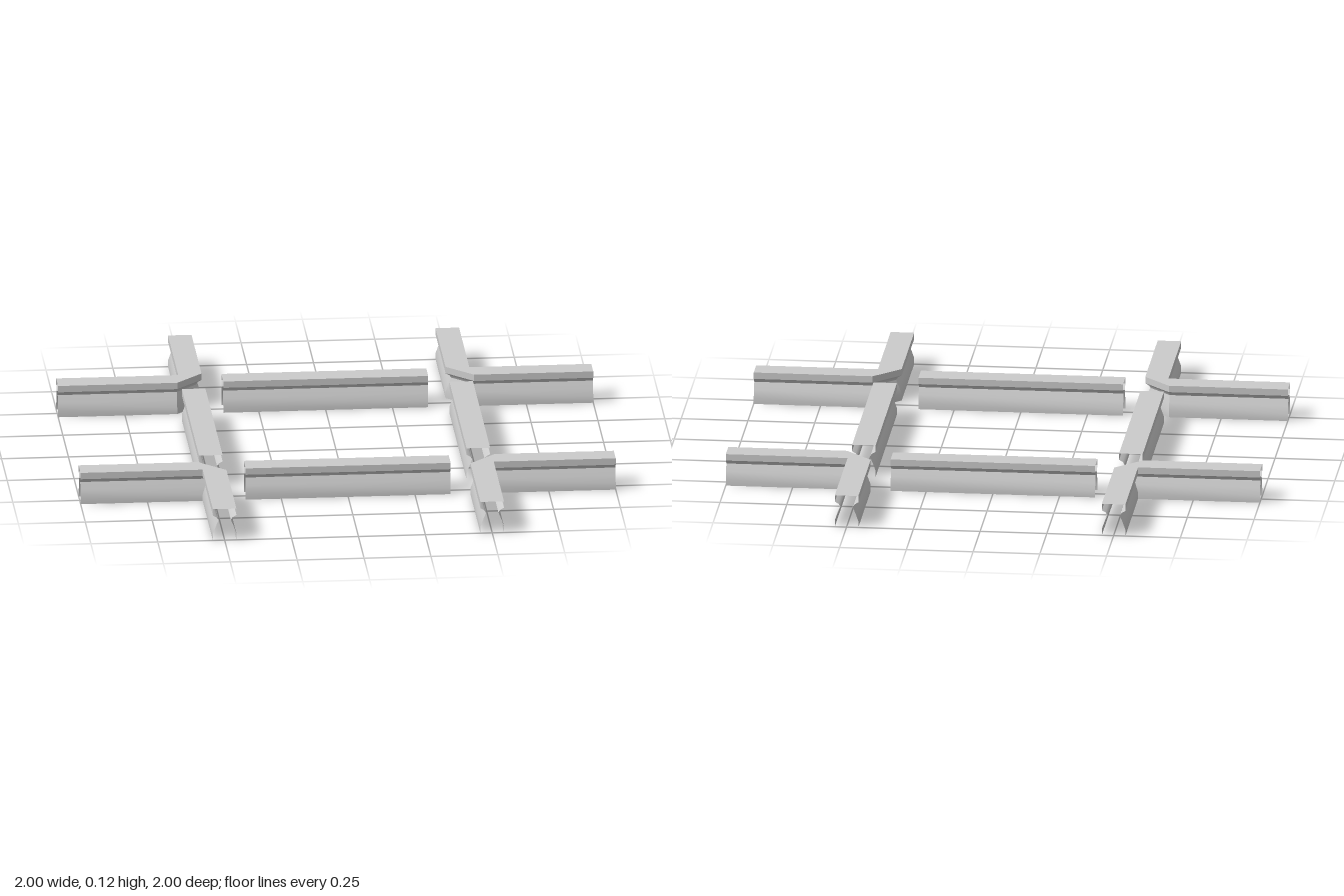
import * as THREE from 'three';
import { toCreasedNormals } from 'three/addons/utils/BufferGeometryUtils.js';

const material = new THREE.MeshStandardMaterial({ color: 0xcccccc, side: THREE.DoubleSide });

// Half profile from the foot up to the cap: [half width, height]
const half = [[0.044, 0], [0.044, 0.025], [0.034, 0.053], [0.023, 0.08], [0.03, 0.09], [0.044, 0.098], [0.044, 0.123]];
// Whole profile over the cap, open underneath: [side, half width, height]
const profile = [
  ...half.map(([d, y]) => [-1, d, y]),
  ...[...half].reverse().map(([d, y]) => [1, d, y]),
];

// Skins a row of sections; each section gives [x, z] for a side and half width
function loft(sections) {
  const rows = sections.map((at) => profile.map(([s, d, y]) => {
    const [x, z] = at(s, d);
    return new THREE.Vector3(x, y, z);
  }));
  const points = [];
  const triangle = (a, b, c) => {
    if (a.distanceTo(b) > 1e-5 && b.distanceTo(c) > 1e-5 && c.distanceTo(a) > 1e-5) points.push(a, b, c);
  };
  for (let i = 0; i < rows.length - 1; i++) {
    for (let j = 0; j < profile.length - 1; j++) {
      const a = rows[i][j], b = rows[i + 1][j], c = rows[i][j + 1], d = rows[i + 1][j + 1];
      triangle(a, b, c);
      triangle(b, d, c);
    }
  }
  return toCreasedNormals(new THREE.BufferGeometry().setFromPoints(points), 0.5);
}

export function createModel() {
  const model = new THREE.Group();
  model.name = 'barrierSet';

  // Straight length of barrier
  const straight = loft([0.383, -0.383].map((x) => (s, d) => [x, 0.5 + s * d]));

  // Corner: two arms, mitred outside and cut at 45 degrees towards the centre
  const corner = loft([
    (s, d) => [1, 0.5 + s * d],
    (s, d) => (s < 0 ? [0.555, 0.5 - d] : [0.5 + d, 0.5 + d]),
    (s, d) => (s < 0 ? [0.5 - d, 0.555] : [0.5 + d, 0.5 + d]),
    (s, d) => [0.5 + s * d, 1],
  ]);

  for (let i = 0; i < 4; i++) {
    for (const [name, geometry] of [['straightBarrier', straight], ['cornerBarrier', corner]]) {
      const mesh = new THREE.Mesh(geometry, material);
      mesh.name = name + (i + 1);
      mesh.rotation.y = i * Math.PI / 2;
      model.add(mesh);
    }
  }
  return model;
}
